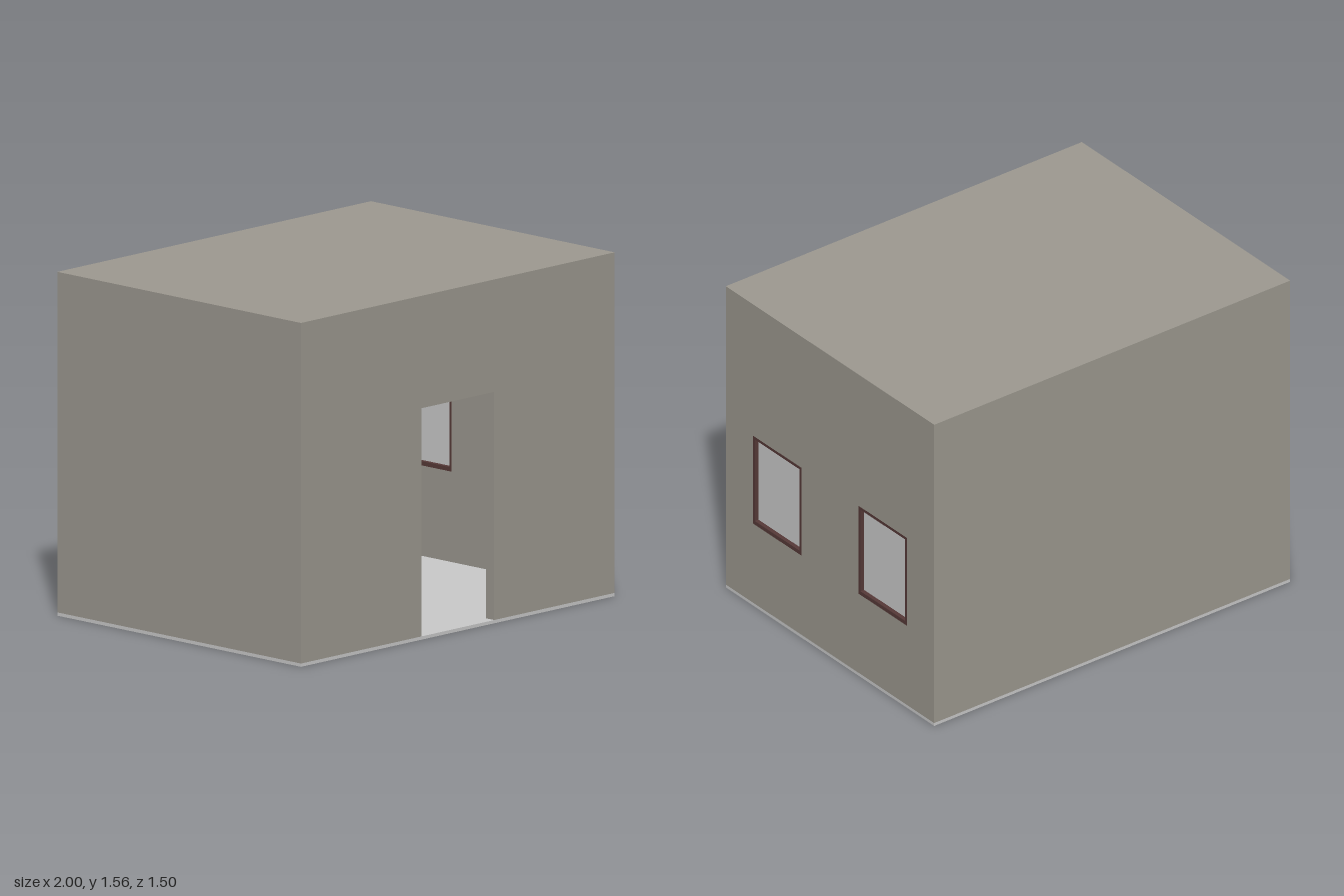
import * as THREE from 'three';

const W = 2, D = 1.5, H = 1.56;      // outer size
const T = 0.05, FLOOR = 0.015;       // wall and roof thickness, floor slab
const WALL_TOP = H - T;

const wallMat = new THREE.MeshStandardMaterial({ color: 0x9e9a91 });
const frameMat = new THREE.MeshStandardMaterial({ color: 0x573a38 });
const greyMat = new THREE.MeshStandardMaterial({ color: 0xcccccc });

function add(parent, name, geometry, material, x = 0, y = 0, z = 0) {
  const mesh = new THREE.Mesh(geometry, material);
  mesh.name = name;
  mesh.position.set(x, y, z);
  parent.add(mesh);
  return mesh;
}

// Rectangle outline from two corners, as a Shape or a hole Path
function rect(x0, y0, x1, y1, Type = THREE.Shape) {
  return new Type([[x0, y0], [x1, y0], [x1, y1], [x0, y1]].map(p => new THREE.Vector2(...p)));
}

const extrude = (shape, depth) => new THREE.ExtrudeGeometry(shape, { depth, bevelEnabled: false });

// Extrusion turned to face +x: shape x runs along -z, depth along +x
const sideExtrude = (shape, depth) => extrude(shape, depth).rotateY(Math.PI / 2);

export function createModel() {
  const room = new THREE.Group();
  room.name = 'room';
  const wallH = WALL_TOP - FLOOR, wallY = FLOOR + wallH / 2;

  // Floor and roof slabs
  add(room, 'floor', new THREE.BoxGeometry(W, FLOOR, D), greyMat, 0, FLOOR / 2);
  add(room, 'roof', new THREE.BoxGeometry(W, T, D), wallMat, 0, H - T / 2);

  // Front wall, notched by the open doorway
  const front = new THREE.Shape([
    [-W / 2, FLOOR], [-0.232, FLOOR], [-0.232, 1.05], [0.232, 1.05],
    [0.232, FLOOR], [W / 2, FLOOR], [W / 2, WALL_TOP], [-W / 2, WALL_TOP],
  ].map(p => new THREE.Vector2(...p)));
  add(room, 'frontWall', extrude(front, T), wallMat, 0, 0, D / 2 - T);

  // Plain back and right walls
  add(room, 'backWall', new THREE.BoxGeometry(W, wallH, T), wallMat, 0, wallY, -D / 2 + T / 2);
  add(room, 'rightWall', new THREE.BoxGeometry(T, wallH, D - 2 * T), wallMat, -W / 2 + T / 2, wallY);

  // Left wall with two window openings
  const y0 = 0.425, y1 = 0.88, near = 0.205, far = 0.555;
  const side = rect(-D / 2 + T, FLOOR, D / 2 - T, WALL_TOP);
  side.holes.push(rect(-far, y0, -near, y1, THREE.Path), rect(near, y0, far, y1, THREE.Path));
  add(room, 'leftWall', sideExtrude(side, T), wallMat, W / 2 - T);

  // Windows: frame lining each opening, pane set back inside it
  const half = (far - near) / 2, rim = 0.014;
  for (const s of [1, -1]) {
    const win = new THREE.Group();
    win.name = s > 0 ? 'frontWindow' : 'backWindow';
    win.position.set(W / 2 - T, 0, s * (near + far) / 2);
    const frame = rect(-half, y0, half, y1);
    frame.holes.push(rect(-half + rim, y0 + rim + 0.005, half - rim, y1 - rim, THREE.Path));
    add(win, 'windowFrame', sideExtrude(frame, T), frameMat);
    add(win, 'windowPane', new THREE.BoxGeometry(0.01, y1 - y0 - rim, 2 * half - rim), greyMat,
      T / 2, (y0 + y1) / 2);
    room.add(win);
  }
  return room;
}
